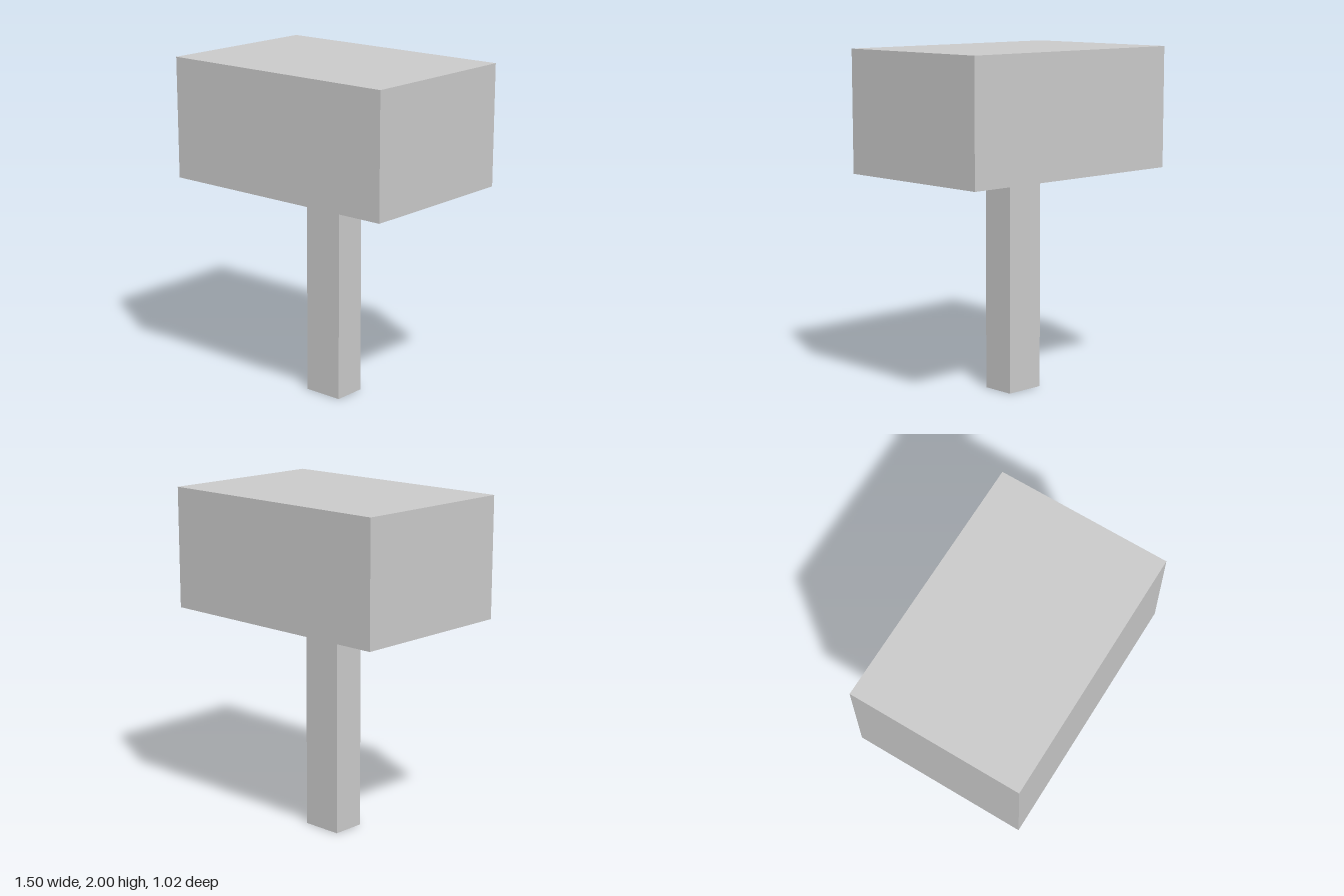
import * as THREE from 'three';

const material = new THREE.MeshStandardMaterial({ color: 0xcccccc, flatShading: true });

// Box standing on height y, centred on x and z
function block(name, width, height, depth, x, y, z) {
  const mesh = new THREE.Mesh(new THREE.BoxGeometry(width, height, depth), material);
  mesh.name = name;
  mesh.position.set(x, y + height / 2, z);
  return mesh;
}

export function createModel() {
  const model = new THREE.Group();
  model.name = 'mallet';

  // Handle, set slightly off the centre of the head
  model.add(block('handle', 0.245, 1.29, 0.2, -0.01, 0, -0.01));

  // Head
  model.add(block('head', 1.5, 0.71, 1.02, 0, 1.29, 0));

  return model;
}
